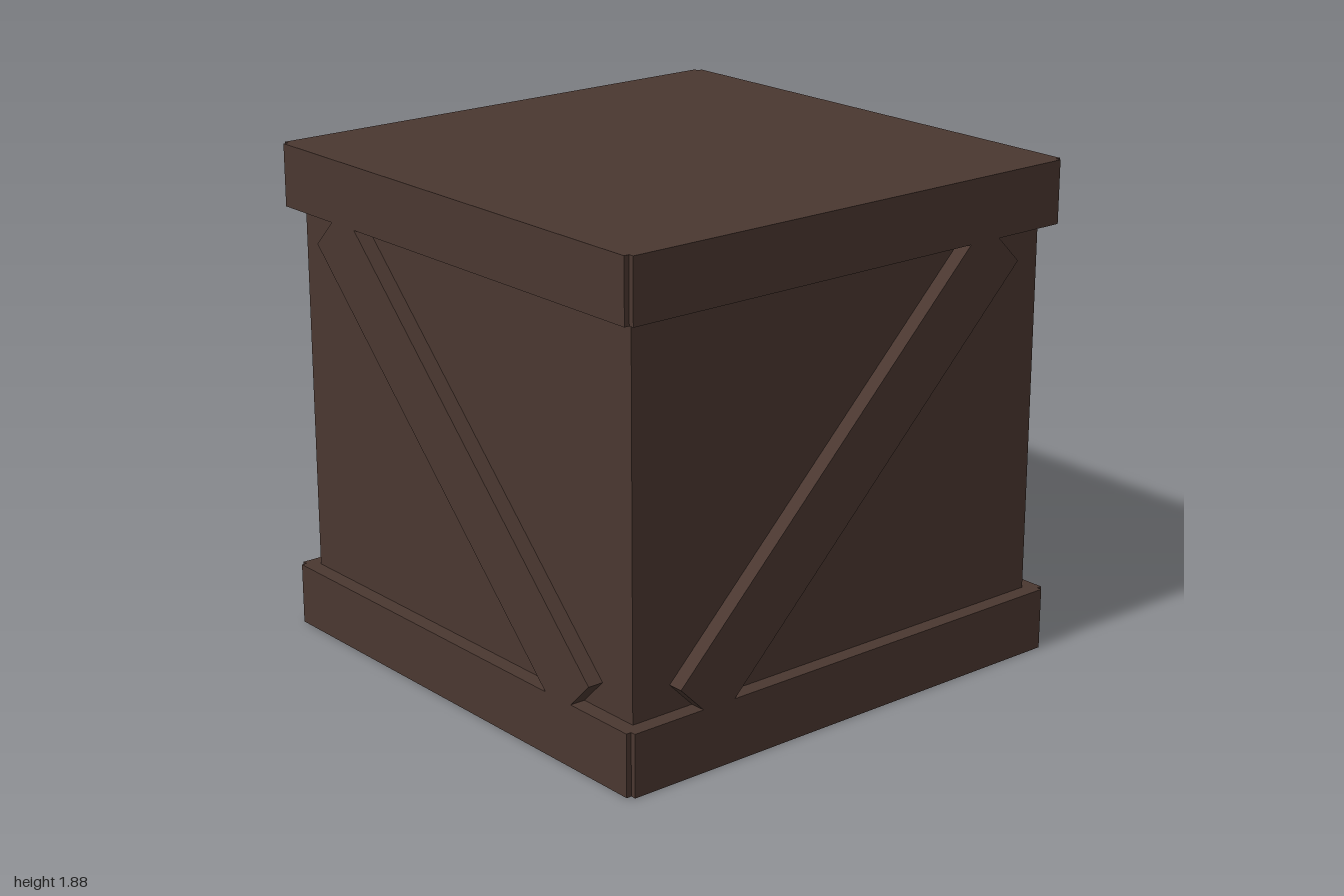
import * as THREE from 'three';

const HALF = 1, NOTCH = 0.02, BODY = 0.94, HEIGHT = 1.88, BAND = 0.235;

function polygon(points) {
  return new THREE.Shape(points.map(([x, y]) => new THREE.Vector2(x, y)));
}

export function createModel() {
  const crate = new THREE.Group();
  crate.name = 'crate';
  const wood = new THREE.MeshStandardMaterial({ color: 0x4a3730 });
  wood.name = 'dark brown wood';

  const add = (name, geometry) => {
    const mesh = new THREE.Mesh(geometry, wood);
    mesh.name = name;
    crate.add(mesh);
    return mesh;
  };

  // Body between the two bands
  const bodyHeight = HEIGHT - 2 * BAND;
  add('body', new THREE.BoxGeometry(BODY * 2, bodyHeight, BODY * 2)).position.y = HEIGHT / 2;

  // Lid and base: square slabs with a small square notch at every corner
  const i = HALF - NOTCH;
  const slabShape = polygon([
    [HALF, -i], [HALF, i], [i, i], [i, HALF], [-i, HALF], [-i, i],
    [-HALF, i], [-HALF, -i], [-i, -i], [-i, -HALF], [i, -HALF], [i, -i],
  ]);
  const slabGeometry = new THREE.ExtrudeGeometry(slabShape, { depth: BAND, bevelEnabled: false });
  slabGeometry.rotateX(-Math.PI / 2);
  add('base', slabGeometry);
  add('lid', slabGeometry).position.y = HEIGHT - BAND;

  // Diagonal braces with square-cut ends, flush with the bands
  const top = HEIGHT - BAND;
  const braceShape = polygon([
    [-0.54, top], [-0.68, top], [-0.78, top - 0.1],
    [0.54, BAND], [0.68, BAND], [0.78, BAND + 0.1],
  ]);
  const braceGeometry = new THREE.ExtrudeGeometry(braceShape, { depth: HALF - BODY, bevelEnabled: false });
  add('frontBrace', braceGeometry).position.z = BODY;
  add('backBrace', braceGeometry).position.z = -HALF;

  // Side braces fall from the back towards the front
  const sideGeometry = braceGeometry.clone().rotateY(-Math.PI / 2);
  add('leftBrace', sideGeometry).position.x = HALF;
  add('rightBrace', sideGeometry).position.x = -BODY;

  return crate;
}
